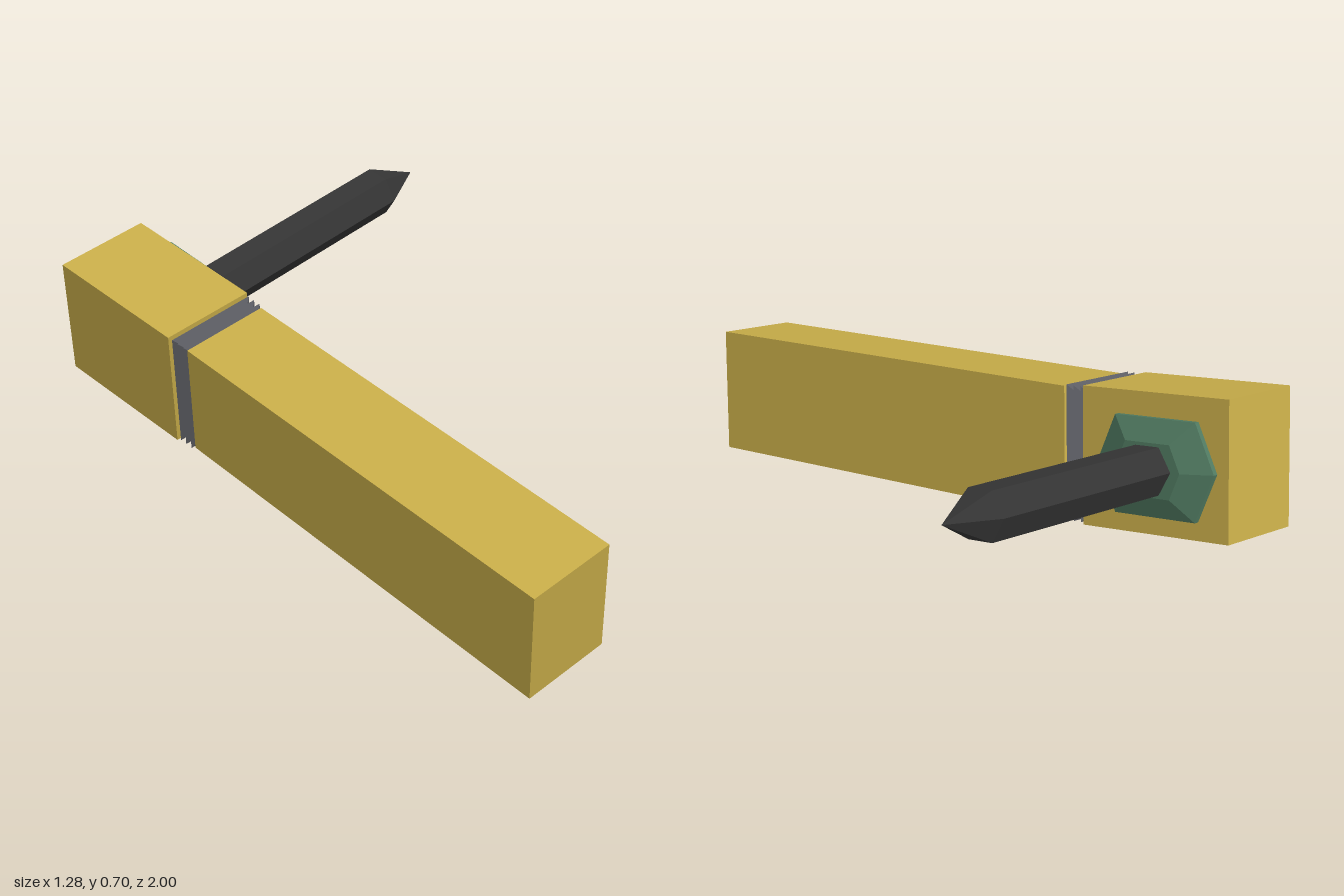
import * as THREE from 'three';

const V3 = (x, y, z) => new THREE.Vector3(x, y, z);
const mat = (name, color) => {
  const m = new THREE.MeshStandardMaterial({ color });
  m.name = name;
  return m;
};

// Flat-faced loft through rings of equal point count, capped at both ends
function loft(rings) {
  const pos = [];
  const tri = (a, b, c) => [a, b, c].forEach((p) => pos.push(p.x, p.y, p.z));
  const n = rings[0].length;
  for (let r = 0; r < rings.length - 1; r++) {
    for (let i = 0; i < n; i++) {
      const j = (i + 1) % n;
      tri(rings[r][i], rings[r][j], rings[r + 1][j]);
      tri(rings[r][i], rings[r + 1][j], rings[r + 1][i]);
    }
  }
  const first = rings[0], last = rings[rings.length - 1];
  for (let i = 1; i < n - 1; i++) {
    tri(first[0], first[i + 1], first[i]);
    tri(last[0], last[i], last[i + 1]);
  }
  const g = new THREE.BufferGeometry();
  g.setAttribute('position', new THREE.Float32BufferAttribute(pos, 3));
  g.computeVertexNormals();
  return g;
}

// Ring of 2D points placed at a centre, spanned by axes a and b
const ring = (c, a, b, pts, s = 1) =>
  pts.map(([p, q]) => c.clone().addScaledVector(a, p * s).addScaledVector(b, q * s));

export function createModel() {
  const group = new THREE.Group();
  const gold = mat('gold', 0xc8ad49);
  const grey = mat('jointGrey', 0x5c5d63);
  const green = mat('green', 0x507a61);
  const black = mat('charcoal', 0x343434);
  const add = (name, rings, m) => {
    const mesh = new THREE.Mesh(loft(rings), m);
    mesh.name = name;
    group.add(mesh);
  };

  // Shared directions: across, upward and along the arm
  const across = V3(0.29, 0.047, -0.037).normalize();
  const up = V3(-0.055, 0.38, 0.075).normalize();
  const front = V3().crossVectors(across, up).normalize();
  const rect = (w, h) => [[-h / 2, -w / 2], [h / 2, -w / 2], [h / 2, w / 2], [-h / 2, w / 2]];
  const slab = (c, w, h) => ring(c, up, across, rect(w, h));

  // Long arm and short head block
  const armFront = V3(-0.2125, 0.2075, 0.945), armBack = V3(-0.3775, 0.3975, -0.415);
  const headFront = V3(-0.3875, 0.4085, -0.486), headBack = V3(-0.4675, 0.4885, -0.946);
  add('longArm', [slab(armFront, 0.277, 0.371), slab(armBack, 0.277, 0.371)], gold);
  add('headBlock', [slab(headFront, 0.296, 0.391), slab(headBack, 0.296, 0.391)], gold);

  // Pleated joint with three ridges between arm and head
  const pleats = [];
  for (let i = 0; i <= 6; i++) {
    const inset = i % 2 ? 0 : 0.035;
    pleats.push(slab(armBack.clone().lerp(headFront, i / 6), 0.288 - inset, 0.383 - inset));
  }
  add('pleatedJoint', pleats, grey);

  // Side mount: pleated collar and bevelled plate
  const mount = V3(-0.289, 0.478, -0.769);
  const plate = [[0, 0.19], [-0.135, 0.13], [-0.135, -0.13], [0, -0.19], [0.135, -0.13], [0.135, 0.13]].reverse();
  const layers = (list) => list.map(([d, s]) =>
    ring(mount.clone().addScaledVector(across, d), up, front, plate, s));
  const ordered = (list) => {
    plate.sort((p, q) => Math.atan2(p[1], p[0]) - Math.atan2(q[1], q[0]));
    return layers(list);
  };
  add('mountCollar', ordered([[-0.005, 0.75], [0.008, 0.86], [0.014, 0.75], [0.022, 0.86], [0.03, 0.75]]), grey);
  add('mountPlate', ordered([[0.026, 0.93], [0.034, 1], [0.05, 1], [0.085, 0.55]]), green);

  // Six-sided spike with pointed tip
  const hex = [];
  for (let i = 0; i < 6; i++) {
    const t = (i * Math.PI) / 3;
    hex.push([Math.sin(t + Math.PI * 2 / 3 + Math.PI / 3), Math.cos(t + Math.PI)]);
  }
  hex.sort((p, q) => Math.atan2(p[1], p[0]) - Math.atan2(q[1], q[0]));
  const rodStart = mount.clone().addScaledVector(across, 0.06);
  const rodEnd = V3(0.495, 0.612, -0.887), tip = V3(0.635, 0.635, -0.905);
  add('spikeShaft', [ring(rodStart, up, front, hex, 0.075), ring(rodEnd, up, front, hex, 0.075)], black);
  add('spikeTip', [ring(rodEnd, up, front, hex, 0.075), ring(tip, up, front, hex, 0.001)], black);

  return group;
}
